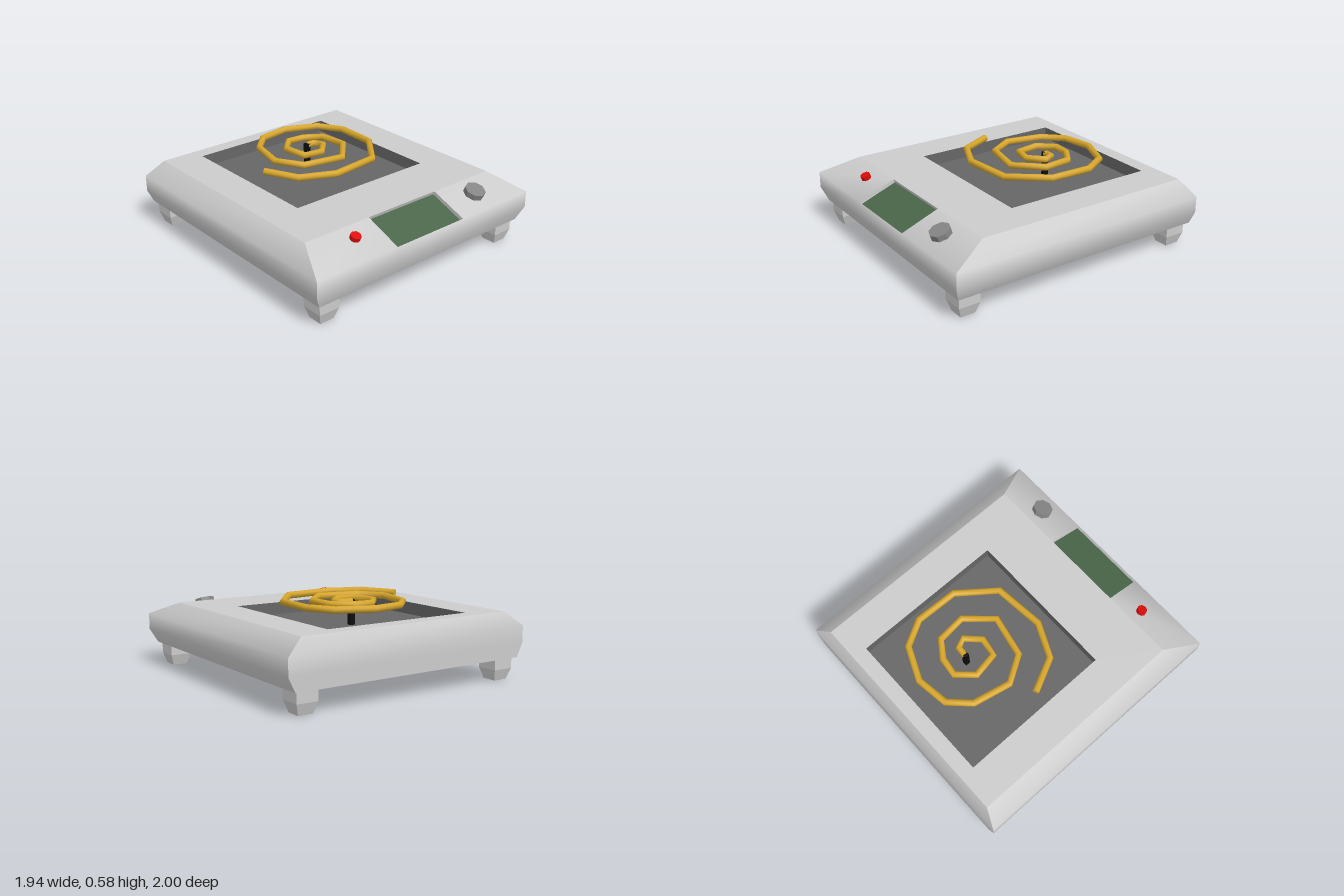
import * as THREE from 'three';

const paint = (color, extra = {}) => new THREE.MeshStandardMaterial({ color, ...extra });

// Surface through rows of points, bottom row first, columns running left to right
function patch(rows, skip = () => false) {
  const n = rows[0].length, index = [];
  for (let r = 0; r < rows.length - 1; r++)
    for (let c = 0; c < n - 1; c++) {
      if (skip(r, c)) continue;
      const a = r * n + c, b = a + 1, d = a + n, e = d + 1;
      index.push(a, b, e, a, e, d);
    }
  const geo = new THREE.BufferGeometry();
  geo.setAttribute('position', new THREE.Float32BufferAttribute(rows.flat(2), 3));
  geo.setIndex(index);
  geo.computeVertexNormals();
  return geo;
}

function add(parent, name, geo, mat, x = 0, y = 0, z = 0) {
  const mesh = new THREE.Mesh(geo, mat);
  mesh.name = name;
  mesh.position.set(x, y, z);
  parent.add(mesh);
  return mesh;
}

// Straight-segmented path for the coil, one sample per corner
class Polyline extends THREE.Curve {
  constructor(points) { super(); this.points = points; }
  getUtoTmapping(u) { return u; }
  getPoint(t, target = new THREE.Vector3()) {
    const last = this.points.length - 1, f = Math.min(Math.max(t, 0), 1) * last;
    const i = Math.min(Math.floor(f), last - 1);
    return target.lerpVectors(this.points[i], this.points[i + 1], f - i);
  }
}

// Sunken pocket: four walls and a floor below a rim of four corners
function pocket(parent, name, rim, drop, wallMat, floorMat) {
  const low = rim.map(p => p.map((v, i) => v + drop[i]));
  add(parent, name + 'Walls', patch([[...rim, rim[0]], [...low, low[0]]]), wallMat);
  add(parent, name + 'Floor', patch([[low[0], low[1]], [low[3], low[2]]]), floorMat);
}

export function createModel() {
  const model = new THREE.Group();
  model.name = 'coilHeater';
  const grey = paint(0xcccccc);

  // Body profile: height, half width, front z, back z
  const profile = [
    [0.16, 0.92, 0.96, -1],
    [0.26, 0.97, 1, -1],
    [0.38, 0.97, 1, -1],
    [0.485, 0.84, 0.725, -0.94],
  ];
  const screenX = 0.305;
  const body = new THREE.Group();
  body.name = 'body';
  model.add(body);
  add(body, 'frontPanel', patch(
    profile.map(([y, w, f]) => [-w, -screenX, screenX, w].map(x => [x, y, f])),
    (r, c) => r === 2 && c === 1), grey);
  add(body, 'leftPanel', patch(profile.map(([y, w, f, b]) => [[w, y, f], [w, y, b]])), grey);
  add(body, 'rightPanel', patch(profile.map(([y, w, f, b]) => [[-w, y, b], [-w, y, f]])), grey);
  add(body, 'backPanel', patch(profile.map(([y, w, , b]) => [[w, y, b], [-w, y, b]])), grey);
  const [y0, w0, f0, b0] = profile[0];
  add(body, 'underside', patch([[[-w0, y0, b0], [w0, y0, b0]], [[-w0, y0, f0], [w0, y0, f0]]]), grey);

  // Top plate with a square opening
  const rect = (S, x, za, zb) => new S([[-x, -zb], [x, -zb], [x, -za], [-x, -za]]
    .map(p => new THREE.Vector2(...p)));
  const [yTop, wTop, fTop, bTop] = profile[3];
  const plate = rect(THREE.Shape, wTop, bTop, fTop);
  plate.holes.push(rect(THREE.Path, 0.575, -0.83, 0.32));
  add(body, 'topPlate', new THREE.ShapeGeometry(plate).rotateX(-Math.PI / 2), grey, 0, yTop, 0);

  // Dark tray under the coil
  const two = { side: THREE.DoubleSide, flatShading: true };
  const trayMat = paint(0x666666, two);
  pocket(model, 'tray',
    [[-0.575, yTop, 0.32], [0.575, yTop, 0.32], [0.575, yTop, -0.83], [-0.575, yTop, -0.83]],
    [0, -0.09, 0], trayMat, trayMat);

  // Screen sunk into the sloping front
  const slope = Math.atan2(0.105, 0.275);
  const normal = [0, Math.cos(slope), Math.sin(slope)];
  pocket(model, 'screen',
    [[-screenX, 0.38, 1], [screenX, 0.38, 1], [screenX, yTop, fTop], [-screenX, yTop, fTop]],
    normal.map(v => -0.027 * v), paint(0xcccccc, two), paint(0x4a664a, two));

  // Button and dial standing on the slope
  const control = (name, x, z, r, h, color) => {
    const y = 0.38 + (1 - z) * Math.tan(slope);
    const geo = new THREE.CylinderGeometry(r, r, h, 8);
    const mesh = add(model, name, geo, paint(color, { flatShading: true }),
      x, y + normal[1] * h / 2, z + normal[2] * h / 2);
    mesh.rotation.x = slope;
  };
  control('powerButton', -0.52, 0.83, 0.037, 0.032, 0xdd0c0c);
  control('dial', 0.565, 0.855, 0.075, 0.042, 0x858585);

  // Square feet with tapered ends
  const footProfile = [[0, 0], [0.054, 0], [0.079, 0.08], [0.079, 0.165]]
    .map(([r, y]) => new THREE.Vector2(r * Math.SQRT2, y));
  const footGeo = new THREE.LatheGeometry(footProfile, 4).rotateY(Math.PI / 4);
  const footMat = paint(0xcccccc, { flatShading: true });
  for (const [name, z] of [['front', 0.86], ['back', -0.89]])
    for (const [side, x] of [['Left', 0.815], ['Right', -0.82]])
      add(model, name + side + 'Foot', footGeo, footMat, x, 0, z);

  // Spiral coil from the outer end to the centre: x, z of each corner
  const corners = [
    [-0.48, -0.17], [-0.365, 0.07], [-0.12, 0.185], [0.25, 0.15], [0.455, -0.11],
    [0.465, -0.425], [0.36, -0.61], [0.115, -0.715], [-0.12, -0.68], [-0.255, -0.54],
    [-0.315, -0.265], [-0.2, -0.075], [0.1, -0.01], [0.27, -0.195], [0.25, -0.405],
    [0.125, -0.49], [-0.01, -0.505], [-0.115, -0.39], [-0.085, -0.21], [0.05, -0.185],
    [0.15, -0.285], [0.115, -0.355], [0.05, -0.355],
  ];
  const path = new Polyline(corners.map(([x, z]) => new THREE.Vector3(x, 0.558, z)));
  const gold = paint(0xd6a52a);
  const coilRadius = 0.025;
  add(model, 'coil', new THREE.TubeGeometry(path, corners.length - 1, coilRadius, 10), gold);
  for (const [t, dir] of [[0, -1], [1, 1]]) {
    const p = path.getPoint(t);
    const cap = add(model, 'coilEnd', new THREE.CircleGeometry(coilRadius, 10), gold, p.x, p.y, p.z);
    cap.lookAt(p.clone().addScaledVector(path.getTangent(t), dir));
  }

  // Post holding the coil
  add(model, 'coilPost', new THREE.BoxGeometry(0.036, 0.18, 0.036), paint(0x0c0c0c), 0.048, 0.482, -0.352);

  return model;
}
